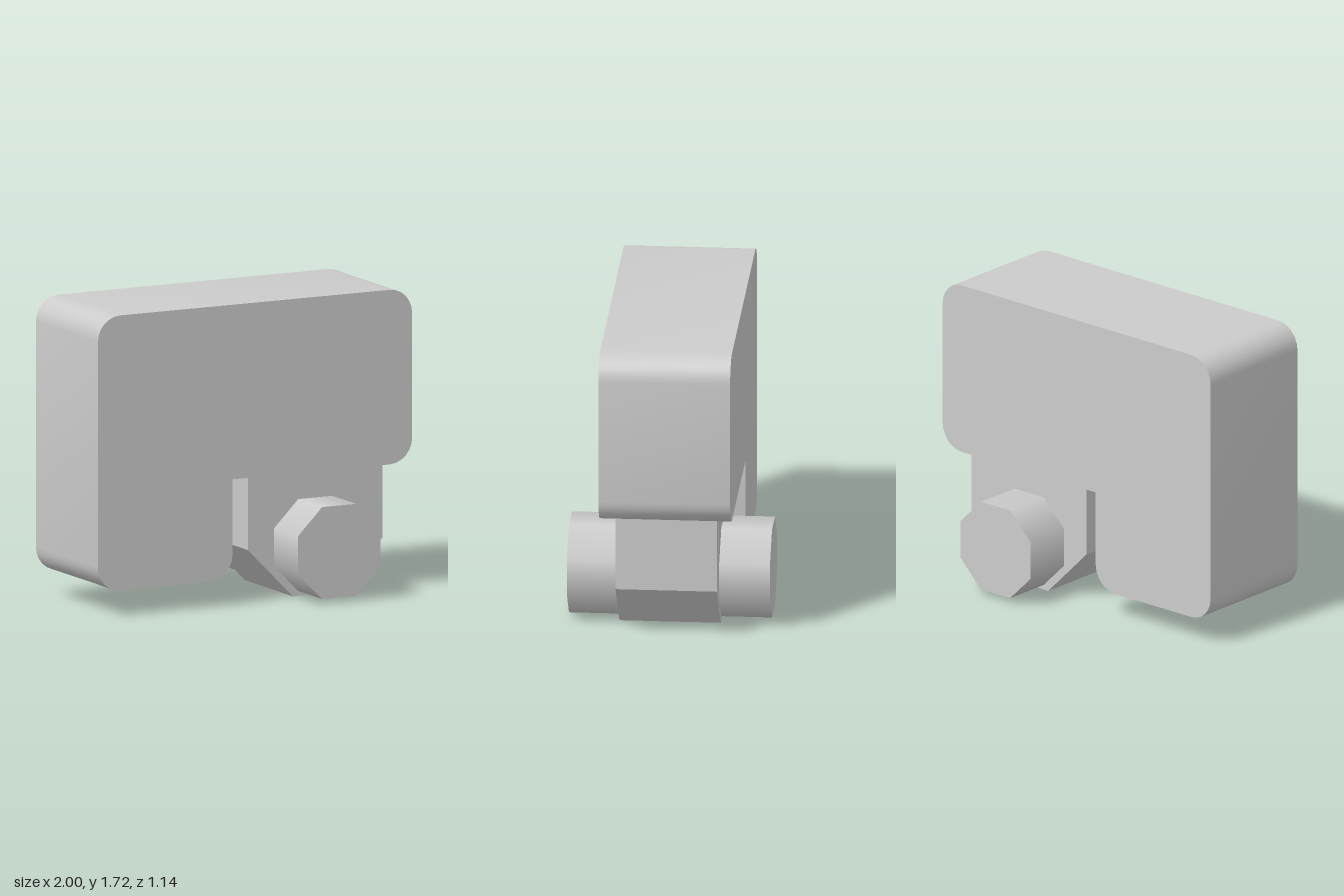
import * as THREE from 'three';
import { toCreasedNormals } from 'three/addons/utils/BufferGeometryUtils.js';

const material = new THREE.MeshStandardMaterial({ color: 0xcccccc });

function addPart(group, name, geometry) {
  const mesh = new THREE.Mesh(geometry, material);
  mesh.name = name;
  group.add(mesh);
  return mesh;
}

// Extrude an outline along z, centred on z = 0, keeping gentle bends smooth
function slab(shape, depth) {
  const geometry = new THREE.ExtrudeGeometry(shape, { depth, bevelEnabled: false, curveSegments: 3 });
  geometry.translate(0, 0, -depth / 2);
  return toCreasedNormals(geometry, 0.6);
}

export function createModel() {
  const group = new THREE.Group();
  const r = 0.143, bottom = 0.145, top = 1.715, shelf = 0.718, legX = -0.143;

  // Body: inverted L with rounded outer corners and a sharp inner corner
  const outline = new THREE.Shape();
  outline.moveTo(legX, shelf);
  outline.lineTo(legX, bottom + r);
  outline.absarc(legX - r, bottom + r, r, 0, -Math.PI / 2, true);
  outline.absarc(-1 + r, bottom + r, r, -Math.PI / 2, -Math.PI, true);
  outline.absarc(-1 + r, top - r, r, Math.PI, Math.PI / 2, true);
  outline.absarc(1 - r, top - r, r, Math.PI / 2, 0, true);
  outline.absarc(1 - r, shelf + r, r, 0, -Math.PI / 2, true);
  outline.closePath();
  addPart(group, 'body', slab(outline, 0.742));

  // Block under the body with two chamfered lower corners
  const block = new THREE.Shape([
    [0, shelf], [0, 0.288], [0.286, 0], [0.571, 0], [0.857, 0.288], [0.857, shelf],
  ].map(([x, y]) => new THREE.Vector2(x, y)));
  addPart(group, 'axleBlock', slab(block, 0.571));

  // Octagonal studs on both faces of the block
  for (const side of [1, -1]) {
    const stud = new THREE.CylinderGeometry(0.284, 0.284, 0.286, 8, 1, false, Math.PI / 8);
    stud.rotateX(Math.PI / 2);
    const mesh = addPart(group, side > 0 ? 'frontStud' : 'backStud', stud);
    mesh.position.set(0.429, 0.29, side * 0.429);
  }
  return group;
}
